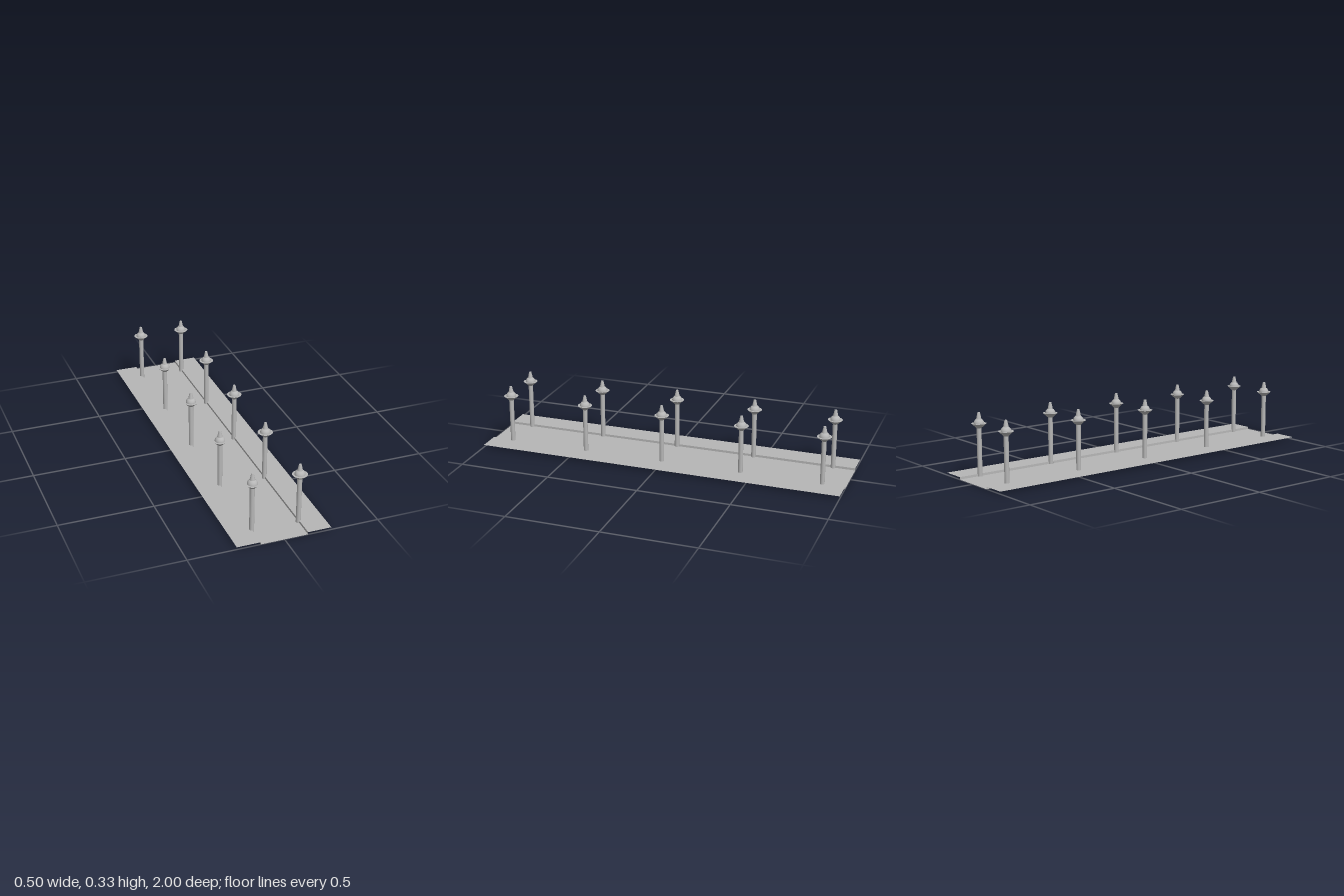
import * as THREE from 'three';

const HALF_WIDTH = 0.248;
const CURB_X = 0.124;
const CURB_HEIGHT = 0.0125;
const LENGTH = 2;

export function createModel() {
  const model = new THREE.Group();
  model.name = 'lampLinedRoad';

  const grey = new THREE.MeshStandardMaterial({ color: 0xb6b6b6, side: THREE.DoubleSide });
  grey.name = 'plain grey';

  const add = (parent, name, geometry, x = 0, y = 0, z = 0) => {
    const mesh = new THREE.Mesh(geometry, grey);
    mesh.name = name;
    mesh.position.set(x, y, z);
    parent.add(mesh);
    return mesh;
  };

  // Road surface between the curbs
  add(model, 'road', new THREE.PlaneGeometry(CURB_X * 2, LENGTH).rotateX(-Math.PI / 2));

  // Lamp post parts, shared by all posts
  const pole = new THREE.CylinderGeometry(0.0125, 0.0125, 0.252, 24);
  const dish = new THREE.CylinderGeometry(0.039, 0.0125, 0.024, 32);
  const globe = new THREE.SphereGeometry(0.027, 32, 10, 0, Math.PI * 2, 0, Math.PI / 2);
  const finial = new THREE.CylinderGeometry(0.0065, 0.0138, 0.034, 24);

  for (const side of [-1, 1]) {
    const label = side > 0 ? 'left' : 'right';

    // Raised pavement strip and the vertical curb facing the road
    const strip = HALF_WIDTH - CURB_X;
    add(model, label + 'Pavement', new THREE.PlaneGeometry(strip, LENGTH).rotateX(-Math.PI / 2),
      side * (CURB_X + strip / 2), CURB_HEIGHT, 0);
    add(model, label + 'Curb', new THREE.PlaneGeometry(LENGTH, CURB_HEIGHT).rotateY(-side * Math.PI / 2),
      side * CURB_X, CURB_HEIGHT / 2, 0);

    // Row of five lamp posts along the curb
    for (let i = -2; i <= 2; i++) {
      const lamp = new THREE.Group();
      lamp.name = label + 'LampPost' + (i + 3);
      lamp.position.set(side * CURB_X, 0, i * 0.44);
      add(lamp, 'pole', pole, 0, 0.126, 0);
      add(lamp, 'dish', dish, 0, 0.262, 0);
      add(lamp, 'globe', globe, 0, 0.273, 0);
      add(lamp, 'finial', finial, 0, 0.313, 0);
      model.add(lamp);
    }
  }
  return model;
}
